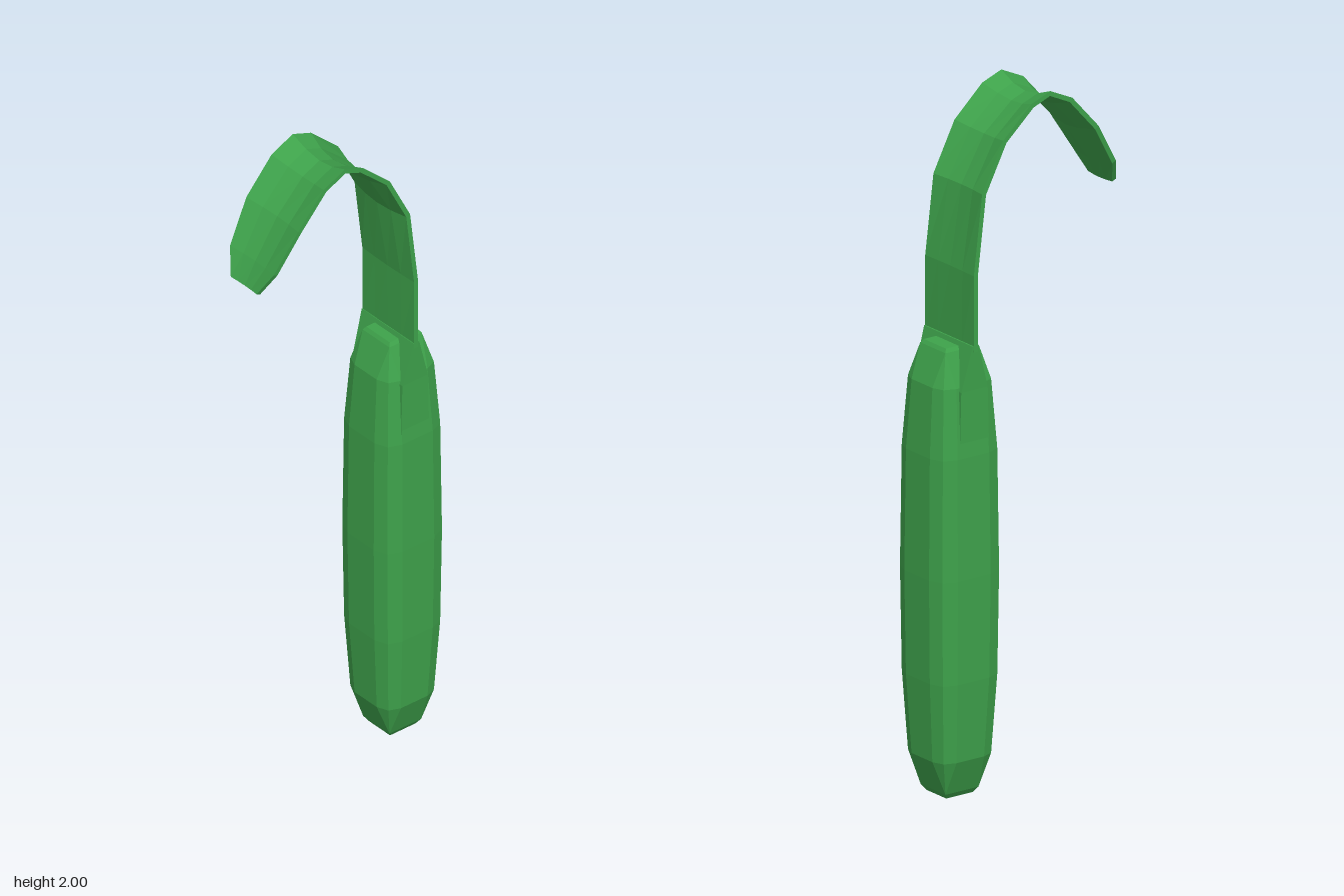
import * as THREE from 'three';

// Skin a series of closed rings (counter-clockwise about the travel direction) and cap both ends.
function loft(rings) {
  const pos = [];
  const tri = (...pts) => pts.forEach((p) => pos.push(p.x, p.y, p.z));
  const n = rings[0].length;
  const centre = (ring) => ring.reduce((s, p) => s.add(p), new THREE.Vector3()).divideScalar(n);
  for (let i = 0; i < rings.length - 1; i++) {
    for (let j = 0; j < n; j++) {
      const k = (j + 1) % n;
      const a = rings[i][j], b = rings[i][k], c = rings[i + 1][k], d = rings[i + 1][j];
      tri(a, b, c);
      tri(a, c, d);
    }
  }
  const first = rings[0], last = rings[rings.length - 1];
  const c0 = centre(first), c1 = centre(last);
  for (let j = 0; j < n; j++) {
    const k = (j + 1) % n;
    tri(c0, first[k], first[j]);
    tri(c1, last[j], last[k]);
  }
  const geo = new THREE.BufferGeometry();
  geo.setAttribute('position', new THREE.Float32BufferAttribute(pos, 3));
  geo.computeVertexNormals();
  return geo;
}

// Rounded-square ring of twelve points; inner rings collapse to a plain square cap.
function bodyRing(y, half, square = false) {
  const quadrant = square
    ? [[1, 1], [1, 1], [1, 1]]
    : [[1, 0.5], [0.86, 0.86], [0.5, 1]];
  const ring = [];
  for (let q = 0; q < 4; q++) {
    for (const [a, b] of quadrant) {
      const [x, z] = [[a, b], [-b, a], [-a, -b], [b, -a]][q];
      ring.push(new THREE.Vector3(x * half, y, -z * half));
    }
  }
  return ring;
}

export function createModel() {
  const group = new THREE.Group();
  const green = new THREE.MeshStandardMaterial({ color: 0x3ea24b });
  green.name = 'leafGreen';
  green.flatShading = true;

  const add = (name, geometry) => {
    const mesh = new THREE.Mesh(geometry, green);
    mesh.name = name;
    group.add(mesh);
  };

  // Long pod with softly swollen sides and small square ends
  add('pod', loft([
    bodyRing(0.004, 0.045, true),
    bodyRing(0.02, 0.056, true),
    bodyRing(0.12, 0.094),
    bodyRing(0.35, 0.108),
    bodyRing(0.65, 0.112),
    bodyRing(1.0, 0.108),
    bodyRing(1.2, 0.094),
    bodyRing(1.295, 0.057, true),
    bodyRing(1.305, 0.05, true),
  ]));

  // Wedge where the stalk grows out of the pod
  const wedgeRing = (y, half, width) => [[half, width], [half, -width], [-half, -width], [-half, width]]
    .map(([x, z]) => new THREE.Vector3(x - 0.006, y, z));
  add('neck', loft([
    wedgeRing(1.0, 0.05, 0.105),
    wedgeRing(1.19, 0.045, 0.105),
    wedgeRing(1.318, 0.01, 0.11),
  ]));

  // Hooked stalk: [along, height, half width, trough depth]
  const path = [
    [0, 1.3, 0.11, 0],
    [0, 1.52, 0.11, 0.003],
    [-0.028, 1.75, 0.11, 0.013],
    [-0.1, 1.89, 0.11, 0.022],
    [-0.195, 1.976, 0.111, 0.028],
    [-0.26, 2.0, 0.111, 0.03],
    [-0.335, 1.965, 0.111, 0.028],
    [-0.425, 1.865, 0.11, 0.022],
    [-0.497, 1.745, 0.093, 0.014],
    [-0.526, 1.675, 0.055, 0.004],
  ];
  const across = [[1, 0], [0.5, 0.72], [0, 1], [-0.5, 0.72], [-1, 0]];
  const thickness = 0.014;
  add('hookedStalk', loft(path.map(([x, y, width, depth], i) => {
    const before = path[Math.max(i - 1, 0)], after = path[Math.min(i + 1, path.length - 1)];
    const normal = new THREE.Vector2(after[1] - before[1], before[0] - after[0]).normalize();
    const point = ([f, d], t) => {
      const inset = d * depth + t;
      return new THREE.Vector3(x - normal.x * inset, y - normal.y * inset, f * width);
    };
    return [
      ...across.map((c) => point(c, 0)),
      ...[...across].reverse().map((c) => point(c, thickness)),
    ];
  })));

  // Turn the hook slightly and set the pod off centre
  group.rotation.y = 0.262;
  group.position.set(0.2, 0, -0.05);
  const root = new THREE.Group();
  root.name = 'hookedPod';
  root.add(group);
  return root;
}
